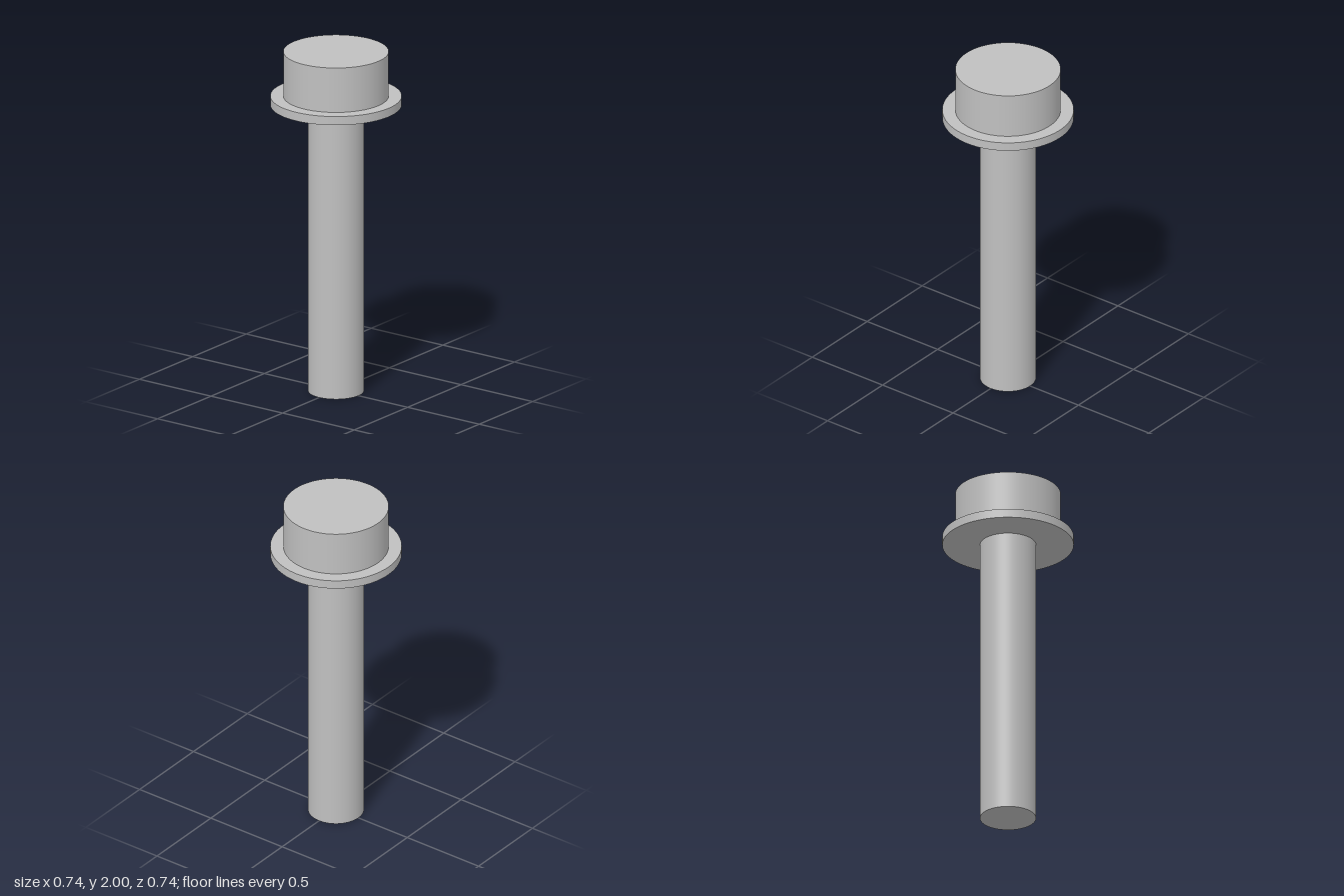
import * as THREE from 'three';

export function createModel() {
  const model = new THREE.Group();
  model.name = 'flangedBolt';
  const steel = new THREE.MeshStandardMaterial({ color: 0xc0c0c0 });
  steel.name = 'steel grey';

  // Upright round solid between two heights
  const addCylinder = (name, radius, bottom, top) => {
    const mesh = new THREE.Mesh(
      new THREE.CylinderGeometry(radius, radius, top - bottom, 96), steel);
    mesh.name = name;
    mesh.position.y = (bottom + top) / 2;
    model.add(mesh);
  };

  addCylinder('shank', 0.157, 0, 1.687);
  addCylinder('flange', 0.368, 1.687, 1.738);
  addCylinder('head', 0.295, 1.738, 2);

  return model;
}
